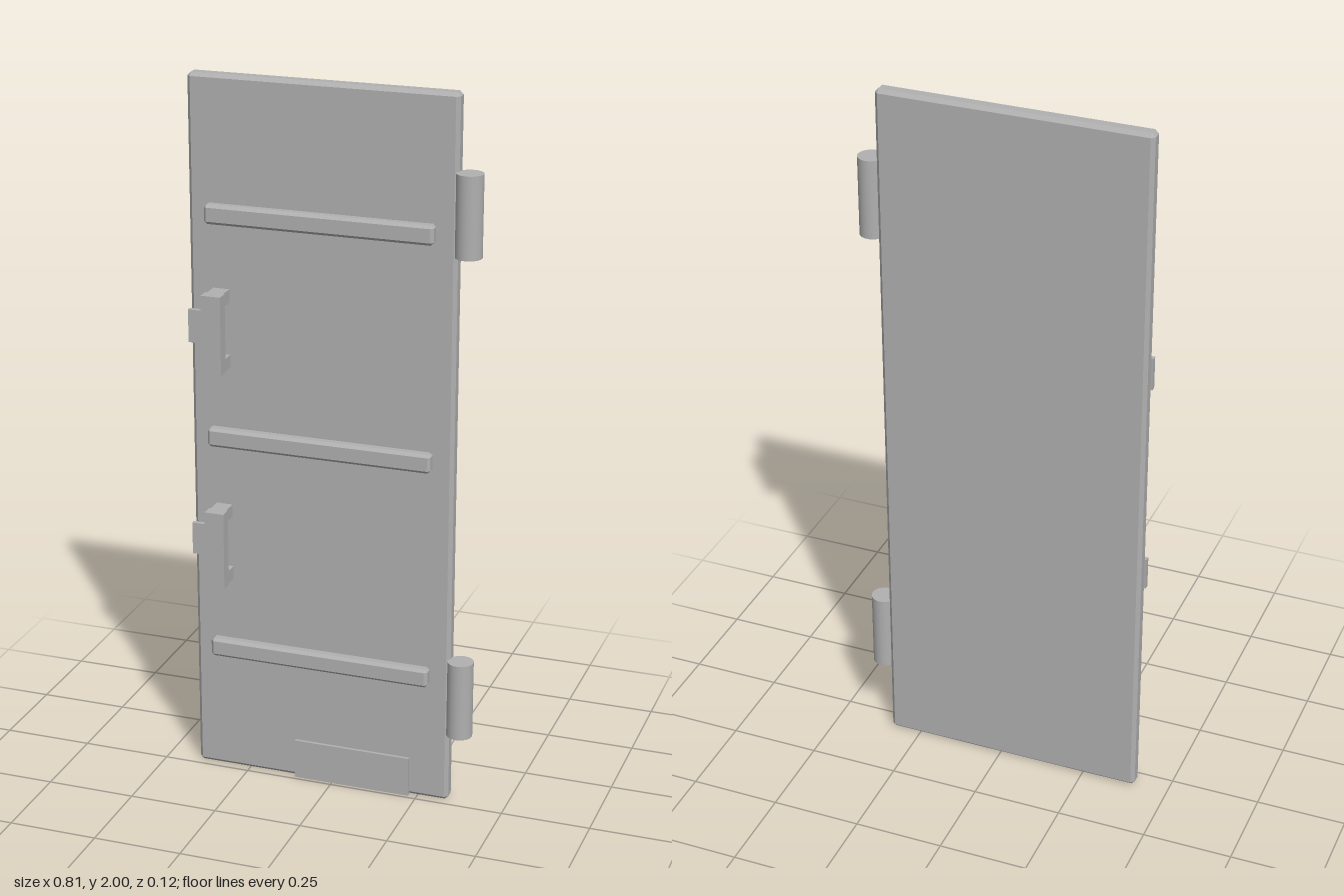
import * as THREE from 'three';
import { ConvexGeometry } from 'three/addons/geometries/ConvexGeometry.js';

const steel = new THREE.MeshStandardMaterial({ color: 0xb0b0b0 });
steel.name = 'grey steel';

// Box with every edge chamfered by c: three corner points per octant
function chamferBox(w, h, d, c) {
  const pts = [];
  for (const sx of [-1, 1]) for (const sy of [-1, 1]) for (const sz of [-1, 1]) {
    for (let full = 0; full < 3; full++) {
      const inset = (axis) => (axis === full ? 0 : c);
      pts.push(new THREE.Vector3(
        sx * (w / 2 - inset(0)), sy * (h / 2 - inset(1)), sz * (d / 2 - inset(2))));
    }
  }
  return new ConvexGeometry(pts);
}

// Places a box by its extents; chamfered when c > 0
function block(name, [x0, x1], [y0, y1], [z0, z1], c = 0) {
  const size = [x1 - x0, y1 - y0, z1 - z0];
  const geometry = c ? chamferBox(...size, c) : new THREE.BoxGeometry(...size);
  const mesh = new THREE.Mesh(geometry, steel);
  mesh.name = name;
  mesh.position.set((x0 + x1) / 2, (y0 + y1) / 2, (z0 + z1) / 2);
  return mesh;
}

// Pull handle: grip on two standoffs
function handle(y) {
  const g = new THREE.Group();
  g.name = 'handle';
  g.add(block('grip', [-0.343, -0.288], [-0.11, 0.11], [0.026, 0.06]));
  for (const s of [-1, 1]) {
    const post = block('handlePost', [-0.338, -0.292], [-0.018, 0.018], [-0.02, 0.026]);
    post.position.y = s * 0.092;
    g.add(post);
  }
  g.position.y = y;
  return g;
}

export function createModel() {
  const door = new THREE.Group();
  door.name = 'door';
  const face = -0.019; // front surface of the panel

  door.add(block('panel', [-0.405, 0.338], [0, 2], [-0.063, face], 0.01));

  // Horizontal stiffening ribs
  for (const y of [0.378, 1.005, 1.631]) {
    door.add(block('rib', [-0.351, 0.283], [y - 0.027, y + 0.027], [face - 0.001, 0.014], 0.008));
  }

  // Hinge barrels on the left edge
  for (const y of [0.32, 1.685]) {
    const hinge = new THREE.Mesh(new THREE.CylinderGeometry(0.036, 0.036, 0.222, 32), steel);
    hinge.name = 'hinge';
    hinge.position.set(0.368, y, -0.023);
    door.add(hinge);
  }

  // Handles and latch plates on the right edge
  for (const y of [0.694, 1.312]) {
    door.add(handle(y));
    door.add(block('latchPlate', [-0.407, -0.352], [y - 0.046, y + 0.046], [face, -0.005]));
  }

  // Kick plate at the foot
  door.add(block('kickPlate', [-0.11, 0.226], [0, 0.115], [face - 0.001, -0.01]));

  return door;
}
